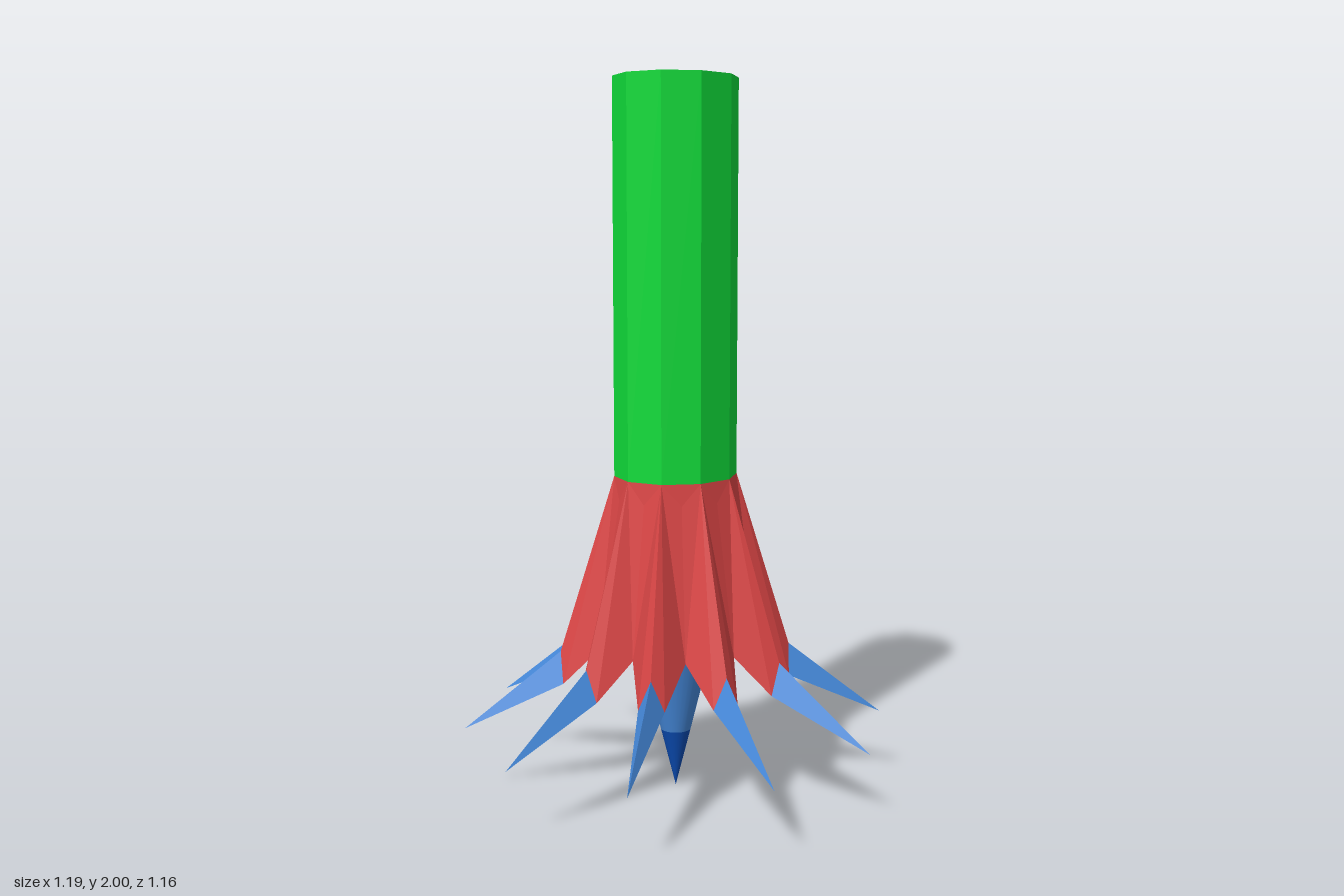
import * as THREE from 'three';

const COUNT = 10;
const STEP = (Math.PI * 2) / COUNT;

// point at a radius, angle around y and height; sideways shifts along the tangent
function polar(r, angle, y, sideways = 0, zScale = 1.02) {
  const c = Math.cos(angle), s = Math.sin(angle);
  return new THREE.Vector3(r * c - sideways * s, y, (r * s + sideways * c) * zScale);
}

// faceted mesh from a list of corner points, three per face
function facets(name, points, material) {
  const geometry = new THREE.BufferGeometry().setFromPoints(points);
  geometry.computeVertexNormals();
  const mesh = new THREE.Mesh(geometry, material);
  mesh.name = name;
  return mesh;
}

function createModel() {
  const group = new THREE.Group();
  const green = new THREE.MeshStandardMaterial({ color: 0x10dc3a });
  const red = new THREE.MeshStandardMaterial({ color: 0xdc4646 });
  const blue = new THREE.MeshStandardMaterial({ color: 0x468adc });
  const navy = new THREE.MeshStandardMaterial({ color: 0x0a4cb4 });
  green.name = 'green';
  red.name = 'red';
  blue.name = 'blue';
  navy.name = 'dark blue';

  // ten-sided shaft
  const shaftShape = new THREE.CylinderGeometry(0.169, 0.169, 1.09, COUNT, 1, false, Math.PI / 2)
    .scale(1, 1, 1.08).toNonIndexed();
  shaftShape.computeVertexNormals();
  const shaft = new THREE.Mesh(shaftShape, green);
  shaft.name = 'shaft';
  shaft.position.y = 1.455;
  group.add(shaft);

  // flared ribs, each ending in a spike
  const centre = new THREE.Vector3(0, 0.43, 0);
  const ribs = [], spikes = [];
  for (let i = 0; i < COUNT; i++) {
    const a = i * STEP;
    const top = polar(0.169, a, 0.91, 0, 1.08);
    const nextTop = polar(0.169, a + STEP, 0.91, 0, 1.08);
    const ridge = polar(0.326, a, 0.41);
    const cornerL = polar(0.321, a, 0.325, 0.036);
    const cornerR = polar(0.321, a, 0.325, -0.036);
    const valleyL = polar(0.235, a + STEP / 2, 0.43);
    const valleyR = polar(0.235, a - STEP / 2, 0.43);
    const notchL = polar(0.168, a + STEP / 2, 0.85, 0, 1.06);
    const notchR = polar(0.168, a - STEP / 2, 0.85, 0, 1.06);
    const tip = polar(0.597, a, 0.195);

    ribs.push(
      top, cornerL, ridge, top, ridge, cornerR,
      top, valleyL, cornerL, top, cornerR, valleyR,
      top, notchL, valleyL, top, valleyR, notchR,
      top, nextTop, notchL,
      // underside
      valleyL, valleyR, cornerR, valleyL, cornerR, cornerL,
      centre, valleyR, valleyL
    );
    spikes.push(
      ridge, cornerL, tip, ridge, tip, cornerR,
      cornerL, cornerR, tip
    );
  }
  group.add(facets('flaredRibs', ribs, red), facets('spikes', spikes, blue));

  // smooth central cone and its point
  const core = new THREE.Mesh(new THREE.CylinderGeometry(0.112, 0.043, 0.28, 32, 1, true), blue);
  core.name = 'centralCone';
  core.position.y = 0.31;
  const point = new THREE.Mesh(new THREE.CylinderGeometry(0.043, 0, 0.17, 32, 1, true), navy);
  point.name = 'conePoint';
  point.position.y = 0.085;
  group.add(core, point);

  return group;
}

export { createModel };
